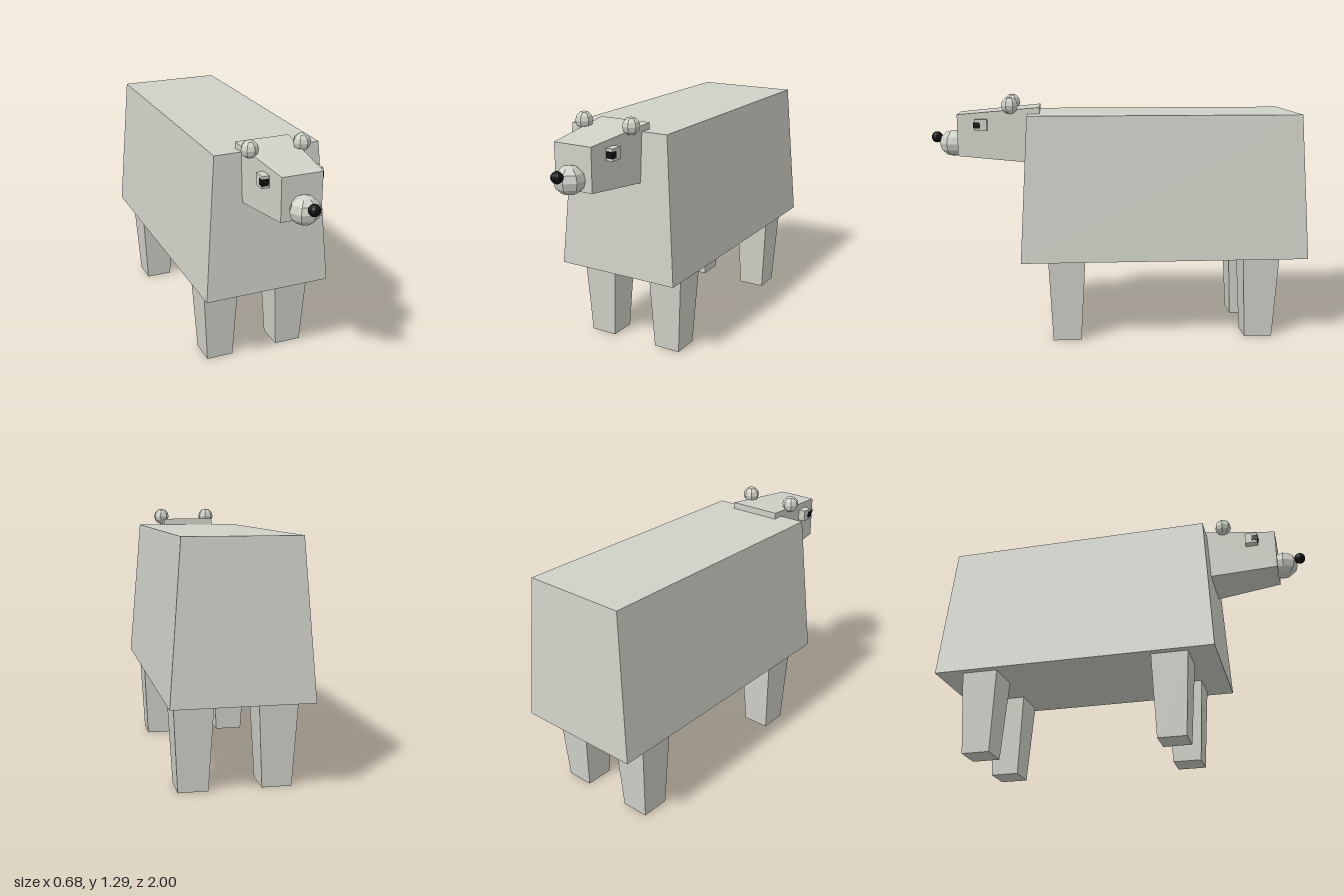
import * as THREE from 'three';

// Box whose bottom is [w, d] and whose top is [w, d], centred on the origin
function taperedBox(bottom, top, height) {
  const geo = new THREE.BoxGeometry(1, height, 1);
  const p = geo.attributes.position;
  for (let i = 0; i < p.count; i++) {
    const [w, d] = p.getY(i) > 0 ? top : bottom;
    p.setXYZ(i, p.getX(i) * w, p.getY(i), p.getZ(i) * d);
  }
  geo.computeVertexNormals();
  return geo;
}

export function createModel() {
  const model = new THREE.Group();
  model.name = 'bear';

  const fur = new THREE.MeshStandardMaterial({ color: 0xd0d1c8, flatShading: true });
  fur.name = 'pale fur';
  const black = new THREE.MeshStandardMaterial({ color: 0x111111, flatShading: true });
  black.name = 'black';

  const add = (name, geo, mat, x, y, z) => {
    const mesh = new THREE.Mesh(geo, mat);
    mesh.name = name;
    mesh.position.set(x, y, z);
    model.add(mesh);
    return mesh;
  };

  // Body, narrowing toward the back line
  add('body', taperedBox([0.68, 1.52], [0.56, 1.435], 0.76), fur, 0, 0.825, -0.24);

  // Head, narrowing toward the face
  const headGeo = taperedBox([0.287, 0.297], [0.21, 0.22], 0.435).rotateX(Math.PI / 2);
  add('head', headGeo, fur, 0, 1.091, 0.6325);

  // Neck, mostly hidden between head and body
  const neck = add('neck', new THREE.BoxGeometry(0.186, 0.18, 0.2), fur, 0, 1.035, 0.43);
  neck.rotation.x = -0.35;

  // Muzzle and nose
  const muzzle = add('muzzle', new THREE.SphereGeometry(0.077, 7, 6), fur, 0, 1.04, 0.88);
  muzzle.scale.y = 0.92;
  add('nose', new THREE.SphereGeometry(0.03, 10, 8), black, 0, 1.073, 0.97);

  // Legs, narrowing toward the feet
  const legGeo = taperedBox([0.147, 0.15], [0.195, 0.195], 0.446);
  const earGeo = new THREE.SphereGeometry(0.045, 7, 6);
  const eyeGeo = new THREE.BoxGeometry(0.038, 0.06, 0.065);
  const pupilGeo = new THREE.BoxGeometry(0.034, 0.032, 0.034);

  for (const [side, s] of [['left', 1], ['right', -1]]) {
    add(`${side}FrontLeg`, legGeo, fur, s * 0.204, 0.223, 0.281);
    add(`${side}BackLeg`, legGeo, fur, s * 0.204, 0.223, -0.757);
    add(`${side}Ear`, earGeo, fur, s * 0.137, 1.25, 0.57);
    add(`${side}Eye`, eyeGeo, fur, s * 0.138, 1.149, 0.722);
    add(`${side}Pupil`, pupilGeo, black, s * 0.142, 1.148, 0.743);
  }

  return model;
}
